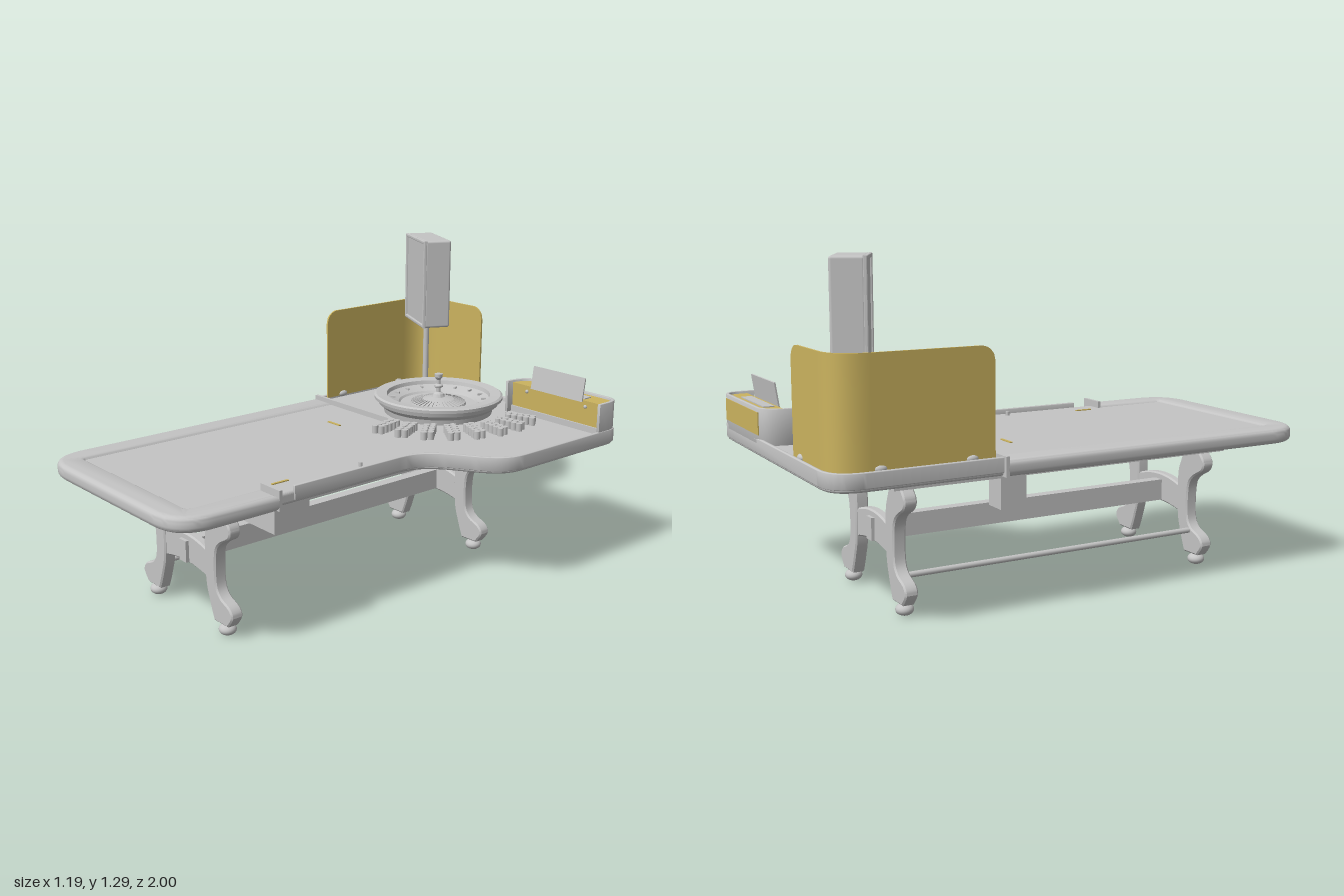
import * as THREE from 'three';
import { toCreasedNormals } from 'three/addons/utils/BufferGeometryUtils.js';
import { RoundedBoxGeometry } from 'three/addons/geometries/RoundedBoxGeometry.js';

const V = (x, y) => new THREE.Vector2(x, y);

export function createModel() {
  const root = new THREE.Group();
  const grey = new THREE.MeshStandardMaterial({ name: 'grey', color: 0xc4c4c4 });
  const gold = new THREE.MeshStandardMaterial({ name: 'gold', color: 0xcbb35f });

  const add = (name, geo, mat = grey, x = 0, y = 0, z = 0, parent = root) => {
    const m = new THREE.Mesh(geo, mat);
    m.name = name;
    m.position.set(x, y, z);
    parent.add(m);
    return m;
  };
  // box from its limits
  const box = (name, x0, x1, y0, y1, z0, z1, mat = grey) =>
    add(name, new THREE.BoxGeometry(x1 - x0, y1 - y0, z1 - z0), mat, (x0 + x1) / 2, (y0 + y1) / 2, (z0 + z1) / 2);
  // plan outline (x, z) extruded between two heights, with a rounded edge
  const slab = (shape, y0, y1, b = 0, crease = 0.14) => {
    const g = new THREE.ExtrudeGeometry(shape, {
      depth: y1 - y0 - 2 * b, curveSegments: 16, bevelEnabled: b > 0,
      bevelThickness: b, bevelSize: b, bevelOffset: -b, bevelSegments: 5
    });
    g.rotateX(Math.PI / 2).translate(0, y1 - b, 0);
    return toCreasedNormals(g, crease);
  };
  // wall of even thickness inside an open plan path
  const strip = (pts, w) => {
    const inner = pts.map((p, i) => {
      const a = pts[Math.max(0, i - 1)], c = pts[Math.min(pts.length - 1, i + 1)];
      const d = c.clone().sub(a).normalize();
      return V(p.x + d.y * w, p.y - d.x * w);
    });
    return new THREE.Shape([...pts, ...inner.reverse()]);
  };

  // table top
  const top = new THREE.Shape();
  top.moveTo(-0.57, -0.35);
  top.lineTo(-0.57, 0.84);
  top.quadraticCurveTo(-0.57, 0.97, -0.44, 0.97);
  top.lineTo(0.18, 0.97);
  top.quadraticCurveTo(0.3, 0.97, 0.3, 0.84);
  top.lineTo(0.3, -0.03);
  top.bezierCurveTo(0.3, -0.25, 0.588, -0.22, 0.588, -0.42);
  top.lineTo(0.588, -0.94);
  top.quadraticCurveTo(0.588, -0.993, 0.54, -0.993);
  top.lineTo(-0.46, -0.993);
  top.quadraticCurveTo(-0.58, -0.993, -0.58, -0.87);
  top.lineTo(-0.58, -0.35);
  add('tableTop', slab(top, 0.523, 0.572, 0.012));

  // raised rim round the dealer side and wheel end
  const rim = new THREE.Path();
  rim.moveTo(0.308, 0.48);
  rim.lineTo(0.308, -0.03);
  rim.bezierCurveTo(0.308, -0.25, 0.594, -0.22, 0.594, -0.42);
  rim.lineTo(0.594, -0.94);
  rim.quadraticCurveTo(0.594, -0.997, 0.54, -0.997);
  rim.lineTo(-0.46, -0.997);
  rim.quadraticCurveTo(-0.586, -0.997, -0.586, -0.87);
  rim.lineTo(-0.586, -0.35);
  add('tableRim', slab(strip(rim.getPoints(20), 0.014), 0.535, 0.592, 0.004, 0.6));

  // padded armrest round the player side
  const rail = new THREE.Shape();
  rail.moveTo(-0.6, -0.35);
  rail.lineTo(-0.6, 0.84);
  rail.quadraticCurveTo(-0.6, 1, -0.44, 1);
  rail.lineTo(0.175, 1);
  rail.quadraticCurveTo(0.335, 1, 0.335, 0.84);
  rail.lineTo(0.335, 0.57);
  rail.lineTo(0.225, 0.57);
  rail.lineTo(0.225, 0.87);
  rail.quadraticCurveTo(0.225, 0.885, 0.21, 0.885);
  rail.lineTo(-0.475, 0.885);
  rail.quadraticCurveTo(-0.49, 0.885, -0.49, 0.87);
  rail.lineTo(-0.49, -0.35);
  add('armrest', slab(rail, 0.521, 0.582, 0.022, 0.6));
  box('armrestEndRight', 0.223, 0.336, 0.521, 0.6, 0.558, 0.572);
  box('armrestEndLeft', -0.6, -0.49, 0.521, 0.595, -0.36, -0.346);
  box('wheelDivider', -0.49, -0.08, 0.57, 0.595, -0.36, -0.346);

  // brass slots and button in the cloth
  box('clothSlot', -0.288, -0.212, 0.57, 0.576, -0.17, -0.16, gold);
  box('clothSlot', 0.196, 0.206, 0.57, 0.576, 0.43, 0.505, gold);
  add('clothButton', new THREE.CylinderGeometry(0.008, 0.008, 0.02, 12), grey, 0.25, 0.58, 0.12);

  // wheel
  const wheel = new THREE.Group();
  wheel.name = 'wheel';
  wheel.position.set(-0.12, 0, -0.65);
  root.add(wheel);
  const lathe = pts => toCreasedNormals(new THREE.LatheGeometry(pts.map(p => V(...p)), 64), 0.5);
  add('wheelBowl', lathe([[0, 0.57], [0.235, 0.57], [0.24, 0.595], [0.262, 0.614], [0.268, 0.632], [0.28, 0.635],
    [0.281, 0.648], [0.272, 0.654], [0.226, 0.65], [0.222, 0.634], [0.172, 0.616], [0.165, 0.608], [0.122, 0.606],
    [0.118, 0.614], [0.03, 0.636], [0, 0.637]]), grey, 0, 0, 0, wheel);
  add('turret', lathe([[0.03, 0.633], [0.022, 0.65], [0.01, 0.658], [0.01, 0.675], [0.02, 0.681], [0.02, 0.688],
    [0.009, 0.694], [0.009, 0.712], [0.017, 0.724], [0.018, 0.738], [0, 0.741]]), grey, 0, 0, 0, wheel);
  const fret = new THREE.BoxGeometry(0.05, 0.006, 0.003).rotateZ(-0.24).translate(0.094, 0.621, 0);
  for (let i = 0; i < 37; i++) add('pocketFret', fret, grey, 0, 0, 0, wheel).rotation.y = i / 37 * Math.PI * 2;
  const stop = new THREE.BoxGeometry(0.022, 0.008, 0.008).translate(0.198, 0.629, 0);
  for (let i = 0; i < 16; i++) add('ballStop', stop, grey, 0, 0, 0, wheel).rotation.y = i / 16 * Math.PI * 2;

  // chip stacks fanned round the wheel
  const chip = new THREE.CylinderGeometry(0.0135, 0.0135, 0.034, 14);
  for (let row = 0; row < 8; row++) {
    const a = THREE.MathUtils.degToRad(-21 + row * 14.2);
    for (let i = 0; i < 5; i++) for (const s of [-1, 1]) {
      const r = 0.327 + i * 0.027 + (s > 0 ? 0.008 : 0), t = s * 0.0135;
      add('chipStack', chip, grey, -0.12 + Math.cos(a) * r - Math.sin(a) * t, 0.588, -0.65 + Math.sin(a) * r + Math.cos(a) * t);
    }
  }

  // chip bank at the rear corner
  const bank = new THREE.Path();
  bank.moveTo(0.592, -0.87);
  bank.lineTo(0.592, -0.93);
  bank.quadraticCurveTo(0.592, -0.997, 0.53, -0.997);
  bank.lineTo(0.17, -0.997);
  bank.quadraticCurveTo(0.076, -0.997, 0.076, -0.87);
  const bankPts = bank.getPoints(14);
  add('bankWall', slab(strip(bankPts, 0.013), 0.57, 0.71, 0.003, 0.6));
  const fill = bankPts.map(p => V(0.334 + (p.x - 0.334) * 0.965, Math.max(-0.988, Math.min(p.y, -0.9))));
  add('bankTray', slab(new THREE.Shape(fill), 0.575, 0.7), gold);
  box('bankFrontFoot', 0.09, 0.58, 0.57, 0.598, -0.9, -0.892);
  box('bankBackPanel', 0.14, 0.54, 0.607, 0.693, -1, -0.996, gold);
  box('cardHolder', 0.195, 0.475, 0.698, 0.704, -0.957, -0.915);
  add('cardPlate', new THREE.BoxGeometry(0.28, 0.1, 0.006), grey, 0.338, 0.742, -0.903).rotation.x = -0.15;
  for (const x of [0.173, 0.493])
    add('bankScrew', new THREE.SphereGeometry(0.008, 12, 8), grey, x, 0.675, -0.899);

  // curved guard screen behind the wheel: a thin box bent along a path, top corners rounded
  const guard = new THREE.CurvePath();
  guard.add(new THREE.LineCurve(V(-0.557, -0.38), V(-0.557, -0.84)));
  guard.add(new THREE.QuadraticBezierCurve(V(-0.557, -0.84), V(-0.557, -0.972), V(-0.43, -0.972)));
  guard.add(new THREE.LineCurve(V(-0.43, -0.972), V(-0.178, -0.972)));
  const len = guard.getLength(), R = 0.055;
  const sheet = new THREE.BoxGeometry(1, 1, 0.008, 200, 1, 1), pos = sheet.attributes.position;
  for (let i = 0; i < pos.count; i++) {
    const u = THREE.MathUtils.clamp(pos.getX(i) + 0.5, 0, 1), w = pos.getZ(i);
    const p = guard.getPointAt(u), t = guard.getTangentAt(u);
    const d = Math.min(R, Math.min(u, 1 - u) * len);
    const high = 0.98 - R + Math.sqrt(R * R - (R - d) ** 2);
    pos.setXYZ(i, p.x - t.y * w, pos.getY(i) > 0 ? high : 0.585, p.y + t.x * w);
  }
  sheet.computeVertexNormals();
  add('guardScreen', sheet, gold);
  for (const [x, z, sx, sz] of [[-0.557, -0.81, 1, 1.7], [-0.557, -0.47, 1, 1.7], [-0.25, -0.972, 1.7, 1]])
    add('guardClip', new THREE.SphereGeometry(0.014, 16, 10), grey, x, 0.592, z).scale.set(sx, 1, sz);

  // display on its post
  add('displayPost', new THREE.CylinderGeometry(0.013, 0.013, 0.345, 20), grey, -0.39, 0.735, -0.83);
  const display = new THREE.Group();
  display.name = 'display';
  display.position.set(-0.39, 1.096, -0.83);
  display.rotation.y = -0.46;
  root.add(display);
  add('displayCase', new RoundedBoxGeometry(0.28, 0.388, 0.118, 3, 0.01), grey, 0, 0, -0.005, display);
  const frame = new THREE.Shape([V(-0.14, -0.194), V(0.14, -0.194), V(0.14, 0.194), V(-0.14, 0.194)]);
  frame.holes.push(new THREE.Path([V(-0.125, -0.179), V(-0.125, 0.179), V(0.125, 0.179), V(0.125, -0.179)]));
  add('displayFrame', new THREE.ExtrudeGeometry(frame, {
    depth: 0.008, bevelThickness: 0.004, bevelSize: 0.004, bevelOffset: -0.004, bevelSegments: 2
  }), grey, 0, 0, 0.05, display);

  // frame under the top
  box('apronEndFront', -0.425, 0.21, 0.477, 0.527, 0.6, 0.735);
  box('apronEndBack', -0.425, 0.21, 0.477, 0.527, -0.705, -0.58);
  box('apronSideLeft', 0.17, 0.21, 0.477, 0.527, -0.58, 0.6);
  box('apronSideRight', -0.425, -0.385, 0.477, 0.527, -0.58, 0.6);
  box('dropBox', 0.05, 0.275, 0.41, 0.527, 0.39, 0.55);
  box('controlBox', -0.29, -0.195, 0.32, 0.527, -0.21, -0.1);

  // trestles: two scrolled legs joined by an arched rail
  const outer = [[0.27, 0.478], [0.303, 0.44], [0.295, 0.4], [0.235, 0.362], [0.208, 0.315], [0.206, 0.2],
    [0.232, 0.152], [0.288, 0.125], [0.306, 0.09], [0.275, 0.046]];
  const inner = [[0.19, 0.045], [0.165, 0.11], [0.141, 0.2], [0.139, 0.36], [0.158, 0.425], [0.184, 0.478]];
  const smooth = (pts, s) => new THREE.SplineCurve(pts.map(([x, y]) => V(x * s, y))).getPoints(36);
  const upright = (shape, t) => toCreasedNormals(new THREE.ExtrudeGeometry(shape, {
    depth: t - 0.012, bevelThickness: 0.006, bevelSize: 0.006, bevelOffset: -0.006, bevelSegments: 1
  }).translate(0, 0, -t / 2 + 0.006), 0.4);
  const arch = new THREE.Shape();
  arch.moveTo(-0.15, 0.2);
  arch.quadraticCurveTo(0, 0.24, 0.15, 0.2);
  arch.lineTo(0.15, 0.31);
  arch.quadraticCurveTo(0, 0.365, -0.15, 0.31);
  for (const [name, z] of [['trestleFront', 0.667], ['trestleBack', -0.638]]) {
    const g = new THREE.Group();
    g.name = name;
    g.position.set(-0.11, 0, z);
    root.add(g);
    for (const s of [-1, 1]) {
      add('leg', upright(new THREE.Shape([...smooth(outer, s), ...smooth(inner, s)]), 0.052), grey, 0, 0, 0, g);
      add('foot', new THREE.SphereGeometry(0.034, 24, 14).scale(1, 0.68, 1), grey, s * 0.24, 0.023, 0, g);
    }
    add('archedRail', upright(arch, 0.038), grey, 0, 0, 0, g);
  }
  box('stretcher', -0.133, -0.087, 0.225, 0.312, -0.67, 0.7);
  add('footRod', new THREE.CylinderGeometry(0.011, 0.011, 1.3, 16).rotateX(Math.PI / 2), grey, -0.33, 0.14, 0.015);

  return root;
}
